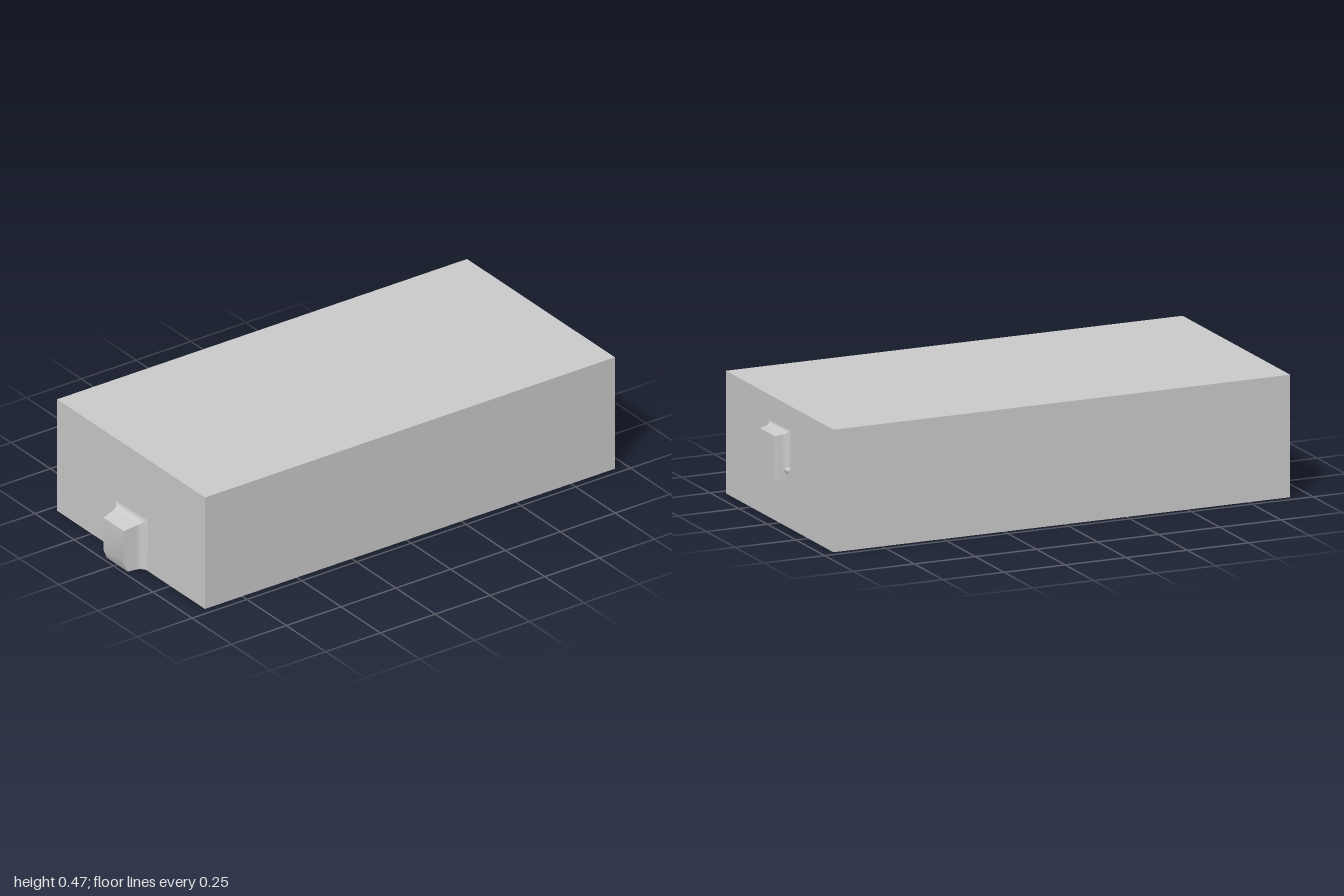
import * as THREE from 'three';
import { toCreasedNormals } from 'three/addons/utils/BufferGeometryUtils.js';

const W = 0.47, BACK = -0.95, FRONT = 0.92, TOP = 0.47;
const material = new THREE.MeshStandardMaterial({ color: 0xcccccc });

function add(group, name, geometry) {
  const mesh = new THREE.Mesh(geometry, material);
  mesh.name = name;
  group.add(mesh);
  return mesh;
}

// Rectangle in plan (x, z); shape y is -z so that it can be laid flat
function rect(Type, x0, x1, z0, z1) {
  const pts = [[x0, -z1], [x1, -z1], [x1, -z0], [x0, -z0]];
  return new Type(pts.map(([x, y]) => new THREE.Vector2(x, y)));
}

// Horizontal slab of the body between two heights, pierced by openings
function slab(y0, y1, holes) {
  const shape = rect(THREE.Shape, -W, W, BACK, FRONT);
  shape.holes = holes.map((h) => rect(THREE.Path, ...h));
  const g = new THREE.ExtrudeGeometry(shape, { depth: y1 - y0, bevelEnabled: false });
  return g.rotateX(-Math.PI / 2).translate(0, y0, 0);
}

// Loft of rectangular rings { w, b, h, z }, closed by a cap at the outer end
function flaredTab(rings) {
  const loops = rings.map(({ w, b, h, z }) => [[-w, b, z], [w, b, z], [w, h, z], [-w, h, z]]);
  const pos = [];
  const quad = (a, b, c, d) => pos.push(...a, ...b, ...c, ...a, ...c, ...d);
  for (let i = 0; i < loops.length - 1; i++) {
    for (let j = 0; j < 4; j++) {
      const k = (j + 1) % 4;
      quad(loops[i][j], loops[i][k], loops[i + 1][k], loops[i + 1][j]);
    }
  }
  quad(...loops[loops.length - 1]);
  const g = new THREE.BufferGeometry();
  g.setAttribute('position', new THREE.Float32BufferAttribute(pos, 3));
  g.computeVertexNormals();
  return toCreasedNormals(g, 0.6);
}

// Rings sweeping in a concave fillet from the wall to the tab's shank
function filletRings(w, flareX, h, flareY, b, depth) {
  const rings = [];
  for (let i = 0; i <= 6; i++) {
    const a = (i / 6) * Math.PI / 2;
    const f = 1 - Math.sin(a);
    rings.push({ w: w + flareX * f, h: h + flareY * f, b, z: depth * (1 - Math.cos(a)) });
  }
  return rings;
}

export function createModel() {
  const model = new THREE.Group();
  model.name = 'block';

  // Square pockets in the underside
  const pockets = [];
  for (const x of [-0.265, 0.265]) {
    for (const z of [-0.64, -0.015, 0.61]) {
      pockets.push([x - 0.06, x + 0.06, z - 0.06, z + 0.06]);
    }
  }
  // Socket by the back edge: two long grooves with two recesses between them
  const socket = [
    [0.08, 0.13, -0.945, -0.585],
    [-0.13, -0.08, -0.945, -0.585],
    [-0.06, 0.06, -0.79, -0.7],
    [-0.06, 0.06, -0.945, -0.84],
  ];

  // Body in three layers, so openings get their different depths
  const body = new THREE.Group();
  body.name = 'body';
  model.add(body);
  add(body, 'pocketLayer', slab(0, 0.07, [...pockets, ...socket]));
  add(body, 'socketLayer', slab(0.07, 0.2, socket));
  add(body, 'solidTop', slab(0.2, TOP, []));

  // Front tab, open to the ground, with its lower tip chamfered
  const front = filletRings(0.072, 0.033, 0.185, 0.03, 0, 0.035);
  front.push({ w: 0.067, h: 0.178, b: 0, z: 0.063 }, { w: 0.065, h: 0.175, b: 0.04, z: 0.08 });
  add(model, 'frontTab', flaredTab(front)).position.z = FRONT;

  // Back tab, raised on the wall
  const backTab = new THREE.Group();
  backTab.name = 'backTab';
  backTab.position.z = BACK;
  backTab.rotation.y = Math.PI;
  model.add(backTab);
  const upper = filletRings(0.07, 0.025, 0.357, 0.02, 0.22, 0.03);
  add(backTab, 'fillet', flaredTab(upper));
  add(backTab, 'shank', flaredTab([
    { w: 0.07, h: 0.357, b: 0.18, z: 0 },
    { w: 0.07, h: 0.357, b: 0.18, z: 0.03 },
    { w: 0.065, h: 0.353, b: 0.18, z: 0.05 },
  ]));

  // Small pin crossing the tab at its foot
  const pin = new THREE.CylinderGeometry(0.011, 0.011, 0.22, 16).rotateZ(Math.PI / 2);
  add(backTab, 'pin', pin).position.set(0, 0.222, 0.004);

  return model;
}
